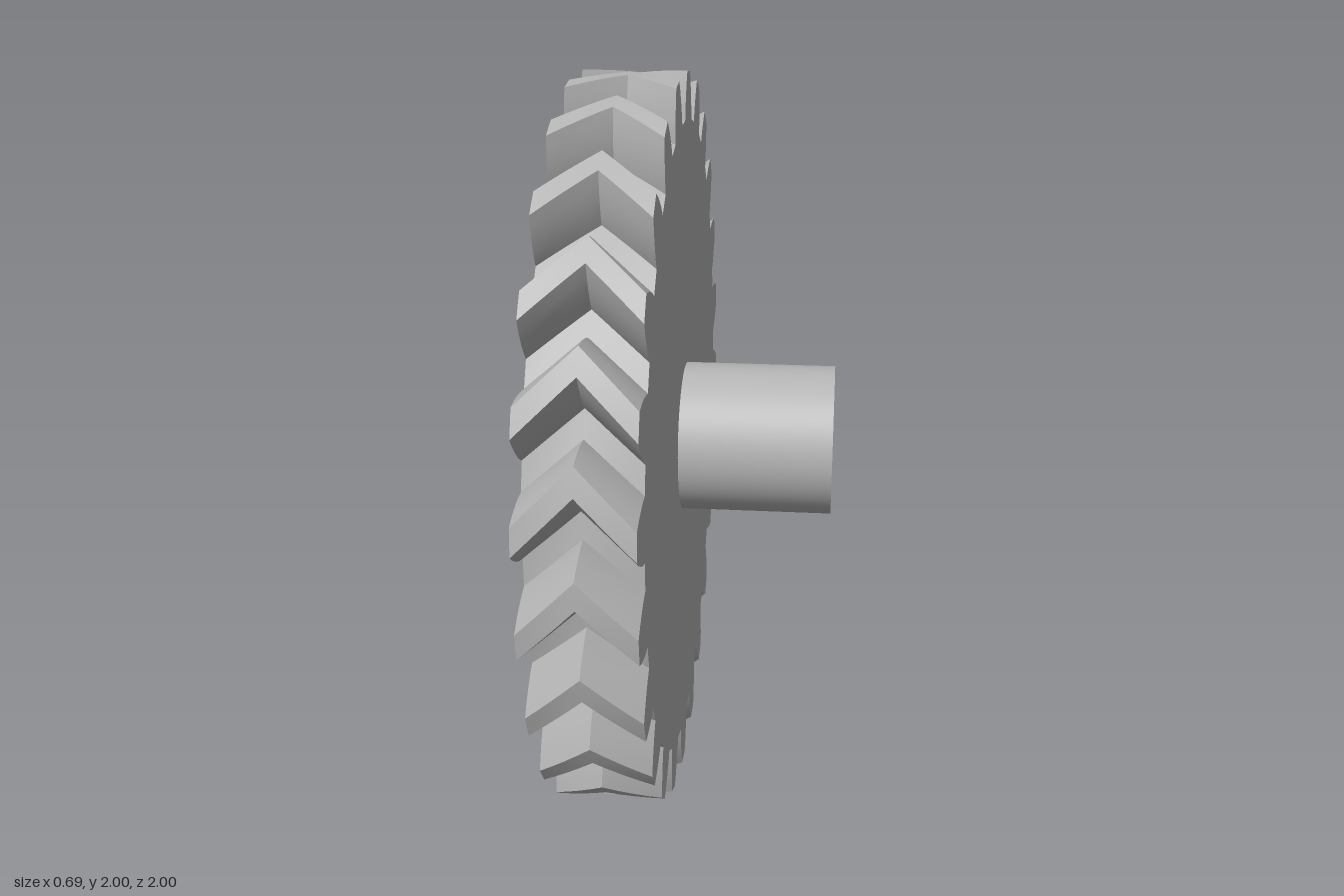
import * as THREE from 'three';
import { toCreasedNormals } from 'three/addons/utils/BufferGeometryUtils.js';

const TEETH = 24, DEG = Math.PI / 180;
const BACK = -0.35, FACE = -0.07, END = 0.345; // wheel back, wheel front, hub end (along x)
const HUB_R = 0.207, BORE_R = 0.057;
const SCREW_X = 0.12, SCREW_R = 0.055, PATCH = 0.6; // cross hole and the wall patch around it
const SWEEP = 8 * DEG; // how far the teeth lean by the middle of the wheel

// Closed loop of point rows: fn(row 0..1, angle) gives [x, y, z]
function loopGrid(rows, fn) {
  const n = 48, pos = [], idx = [];
  for (let j = 0; j <= rows; j++)
    for (let i = 0; i < n; i++) pos.push(...fn(j / rows, (i / n) * Math.PI * 2));
  for (let j = 0; j < rows; j++)
    for (let i = 0; i < n; i++) {
      const k = (i + 1) % n, a = j * n + i, b = a + n, c = (j + 1) * n + k, d = j * n + k;
      idx.push(a, b, c, a, c, d);
    }
  const g = new THREE.BufferGeometry();
  g.setAttribute('position', new THREE.Float32BufferAttribute(pos, 3));
  g.setIndex(idx);
  g.computeVertexNormals();
  return g;
}

// Lathe about the x axis from [radius, x] pairs
function latheX(pairs, start = 0, length = Math.PI * 2) {
  const g = new THREE.LatheGeometry(pairs.map(p => new THREE.Vector2(...p)), 64, start, length);
  return g.rotateZ(-Math.PI / 2);
}

// Herringbone wheel: tooth outline extruded, then twisted towards the middle
function wheelGeometry() {
  const flank = [[0.875, 5.2], [0.905, 4.75], [0.94, 3.9], [0.97, 3.05], [1, 2]]; // radius, half angle
  const outline = [];
  for (let i = 0; i < TEETH; i++) {
    const mid = (i + 0.5) * 360 / TEETH;
    const put = (r, a) => outline.push(new THREE.Vector2(r * Math.cos((mid + a) * DEG), r * Math.sin((mid + a) * DEG)));
    flank.forEach(([r, a]) => put(r, -a));
    put(1, 0);
    [...flank].reverse().forEach(([r, a]) => put(r, a));
  }
  const shape = new THREE.Shape(outline);
  shape.holes.push(new THREE.Path().absarc(0, 0, BORE_R, 0, Math.PI * 2, true));
  const depth = FACE - BACK;
  const g = new THREE.ExtrudeGeometry(shape, { depth, steps: 8, bevelEnabled: false, curveSegments: 32 });
  const p = g.attributes.position;
  for (let i = 0; i < p.count; i++) {
    const x = p.getX(i), y = p.getY(i);
    if (Math.hypot(x, y) < 0.5) continue;
    const a = -SWEEP * (1 - Math.abs(2 * p.getZ(i) / depth - 1));
    p.setXY(i, x * Math.cos(a) - y * Math.sin(a), x * Math.sin(a) + y * Math.cos(a));
  }
  g.rotateY(Math.PI / 2).translate(BACK, 0, 0);
  return toCreasedNormals(g, 25 * DEG);
}

// Part of the hub wall that surrounds the cross hole
function patchGeometry() {
  return loopGrid(4, (k, angle) => {
    const c = Math.cos(-angle), s = Math.sin(-angle), m = Math.max(Math.abs(c), Math.abs(s));
    const outX = c > 0 ? SCREW_X + (c / m) * (END - SCREW_X) : SCREW_X + (c / m) * (SCREW_X - FACE);
    const x = THREE.MathUtils.lerp(SCREW_X + SCREW_R * c, outX, k);
    const a = THREE.MathUtils.lerp(Math.asin(SCREW_R * s / HUB_R), PATCH * s / m, k);
    return [x, HUB_R * Math.sin(a), -HUB_R * Math.cos(a)];
  });
}

// Wall of the cross hole, from the hub surface down to the bore
function screwHoleGeometry() {
  return loopGrid(1, (k, t) => {
    const y = SCREW_R * Math.sin(t), r = k ? BORE_R : HUB_R;
    return [SCREW_X + SCREW_R * Math.cos(t), y, -Math.sqrt(r * r - y * y)];
  });
}

export function createModel() {
  const grey = new THREE.MeshStandardMaterial({ color: 0xb4b4b4 });
  grey.name = 'plainGrey';
  const model = new THREE.Group();
  model.name = 'herringboneGear';
  const add = (name, geometry) => {
    const mesh = new THREE.Mesh(geometry, grey);
    mesh.name = name;
    mesh.position.y = 1;
    model.add(mesh);
  };
  add('toothedWheel', wheelGeometry());
  add('hubWall', latheX([[HUB_R, FACE], [HUB_R, END]], Math.PI + PATCH, 2 * (Math.PI - PATCH)));
  add('hubWallAroundHole', patchGeometry());
  add('hubEnd', latheX([[HUB_R, END], [BORE_R, END]]));
  add('hubBore', latheX([[BORE_R, END], [BORE_R, FACE]]));
  add('screwHole', screwHoleGeometry());
  return model;
}
